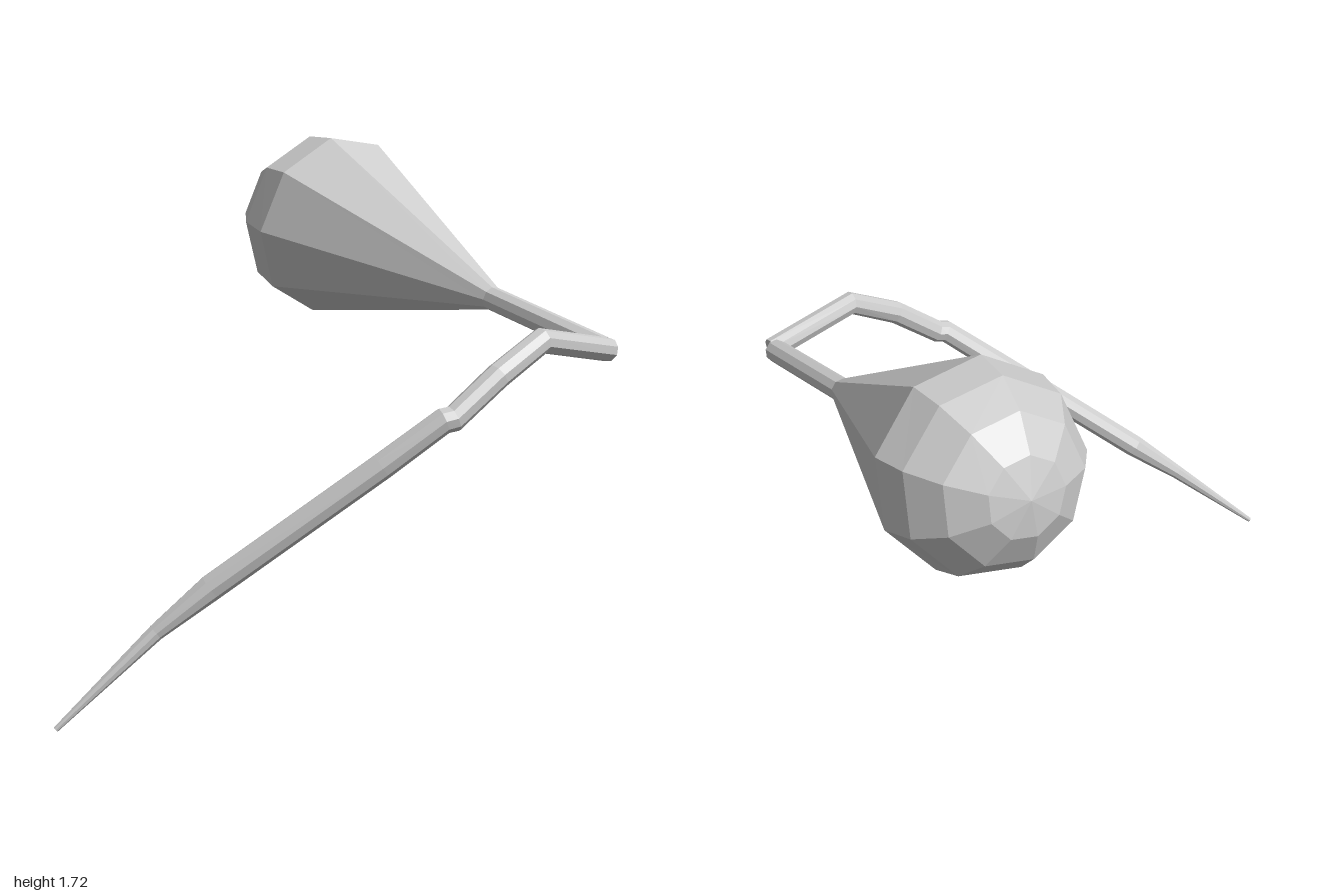
import * as THREE from 'three';

const SIDES = 9;
const vec = (x, y, z) => new THREE.Vector3(x, y, z);

// Capped sweep: rings of the given radii set across a path, starting at a reference direction
function sweep(name, points, radii, reference) {
  const pos = [], index = [], ref = reference.clone(), last = points.length - 1;
  points.forEach((p, i) => {
    const t = vec(0, 0, 0);
    if (i > 0) t.add(p.clone().sub(points[i - 1]).normalize());
    if (i < last) t.add(points[i + 1].clone().sub(p).normalize());
    t.normalize();
    ref.addScaledVector(t, -ref.dot(t)).normalize();
    const v = t.clone().cross(ref);
    for (let j = 0; j < SIDES; j++) {
      const a = (j / SIDES) * Math.PI * 2;
      const q = p.clone().addScaledVector(ref, Math.cos(a) * radii[i]).addScaledVector(v, Math.sin(a) * radii[i]);
      pos.push(q.x, q.y, q.z);
    }
  });
  const start = pos.length / 3;
  pos.push(...points[0].toArray(), ...points[last].toArray());
  for (let j = 0; j < SIDES; j++) {
    const k = (j + 1) % SIDES, e = last * SIDES;
    for (let i = 0; i < last; i++) {
      const a = i * SIDES + j, b = i * SIDES + k;
      index.push(a, b, b + SIDES, a, b + SIDES, a + SIDES);
    }
    index.push(start, k, j, start + 1, e + j, e + k);
  }
  const geometry = new THREE.BufferGeometry();
  geometry.setAttribute('position', new THREE.Float32BufferAttribute(pos, 3));
  geometry.setIndex(index);
  geometry.computeVertexNormals();
  const mesh = new THREE.Mesh(geometry, new THREE.MeshStandardMaterial({ color: 0xcccccc, flatShading: true }));
  mesh.name = name;
  return mesh;
}

export function createModel() {
  const group = new THREE.Group();
  group.name = 'bulbOnBentStem';

  // Bent stem: tapered tip, long thick run, small kink, then the elbow
  group.add(sweep('bentStem', [
    vec(-0.95, 0.01, 0.7), vec(-0.63, 0.295, 0.72), vec(-0.46, 0.43, 0.75), vec(0.05, 0.81, 0.9),
    vec(0.235, 0.95, 0.948), vec(0.268, 0.955, 0.95), vec(0.43, 1.075, 0.925),
    vec(0.605, 1.168, 0.873), vec(0.925, 1.1, 0.735),
  ], [0.009, 0.027, 0.043, 0.043, 0.042, 0.042, 0.042, 0.042, 0.04], vec(0, 1, 0)));

  // Neck flaring into a bulb with a hemispherical end
  const centre = vec(0.507, 1.393, -0.65), neck = vec(0.762, 1.207, 0.2);
  const axis = vec(-0.26, 0.18, -0.95).normalize(), R = 0.345;
  const points = [vec(0.912, 1.102, 0.715), neck], radii = [0.042, 0.042];
  for (let i = 0; i <= 4; i++) {
    const a = (i / 4) * Math.PI / 2;
    points.push(centre.clone().addScaledVector(axis, R * Math.sin(a)));
    radii.push(R * Math.cos(a));
  }
  group.add(sweep('neckAndBulb', points, radii, vec(-1, 0.03, 0)));
  return group;
}
